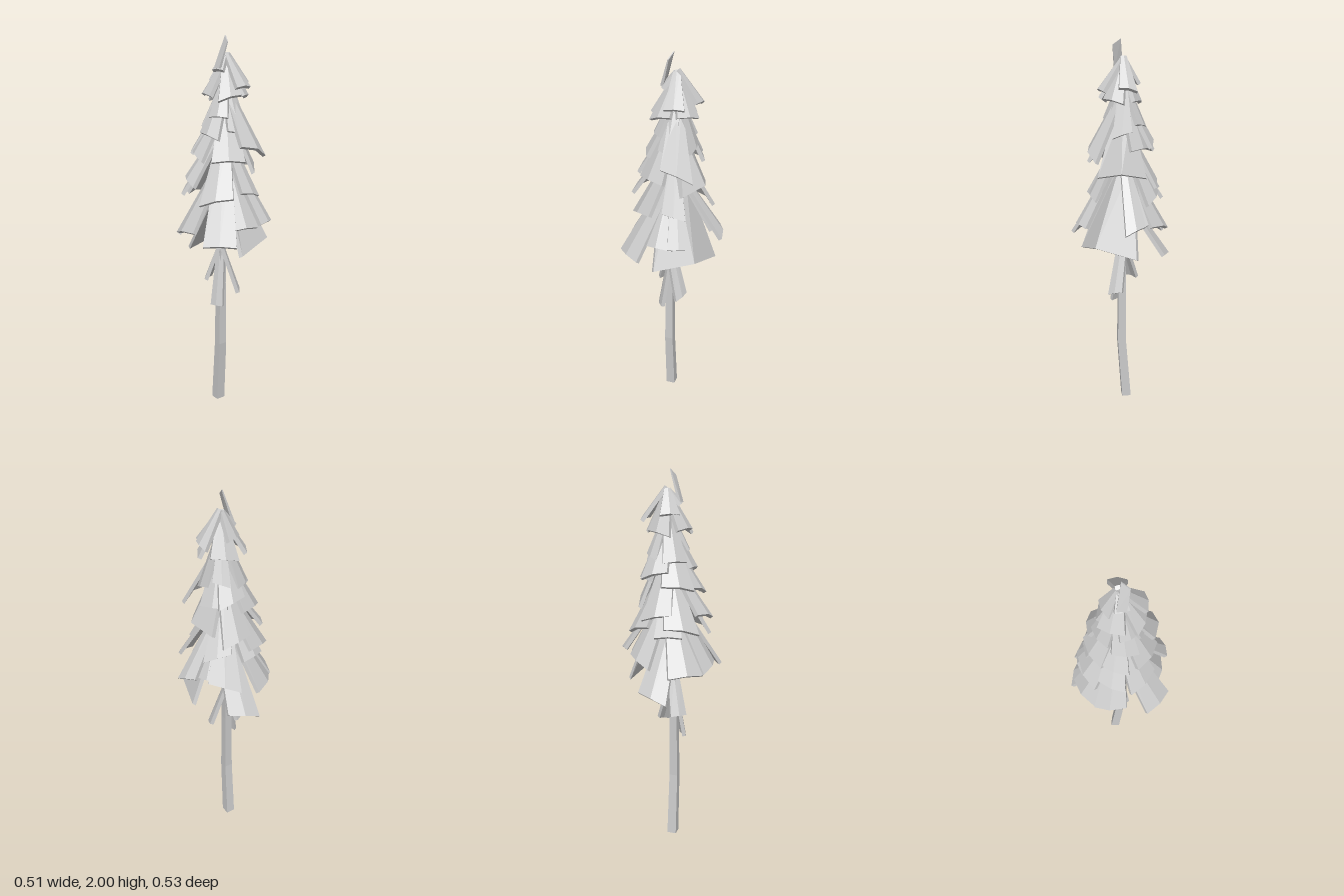
import * as THREE from 'three';

const mat = new THREE.MeshStandardMaterial({ color: 0xcccccc, flatShading: true });

// Trunk centre line (x, y, z, radius), bent slightly near the ground
const trunkPath = [
  [-0.03, 0, -0.023, 0.035], [-0.031, 0.35, 0.003, 0.032], [-0.028, 0.7, 0.001, 0.028],
  [-0.02, 1.0, 0, 0.025], [0, 1.5, 0, 0.016], [0.01, 1.86, 0, 0.008],
];

function trunkAt(y) {
  let i = 0;
  while (i < trunkPath.length - 2 && y > trunkPath[i + 1][1]) i++;
  const a = trunkPath[i], b = trunkPath[i + 1];
  const t = Math.min(1, (y - a[1]) / (b[1] - a[1]));
  return a.map((v, k) => v + (b[k] - v) * t);
}

function makeTrunk() {
  const rows = trunkPath.length - 1;
  const geo = new THREE.CylinderGeometry(1, 1, rows, 4, rows, false, Math.PI / 4);
  const p = geo.attributes.position;
  for (let i = 0; i < p.count; i++) {
    const [x, y, z, r] = trunkPath[Math.round(p.getY(i) + rows / 2)];
    p.setXYZ(i, x + p.getX(i) * r, y, z + p.getZ(i) * r);
  }
  const mesh = new THREE.Mesh(geo, mat);
  mesh.name = 'trunk';
  return mesh;
}

// A hanging slab: narrow at the root, wide at the tip, folded along a central ridge.
// skew makes one corner of the tip hang further than the other.
function makeBough(x, y, z, halfWidth, drop, skew = 0, tipFold = 0.26, rootWidth = 0.34) {
  const [cx, , cz] = trunkAt(y + drop);
  const out = new THREE.Vector3(x - cx, 0, z - cz).normalize();
  const side = new THREE.Vector3(0, 1, 0).cross(out);
  const root = new THREE.Vector3(cx, y + drop, cz).addScaledVector(out, 0.015);
  const tip = new THREE.Vector3(x, y, z);
  const normal = side.clone().cross(root.clone().sub(tip)).normalize();
  const geo = new THREE.BoxGeometry(2, 1, 1, 2, 1, 1);
  const p = geo.attributes.position, v = new THREE.Vector3();
  for (let i = 0; i < p.count; i++) {
    const s = p.getX(i), t = 0.5 - p.getY(i);
    const thick = (p.getZ(i) - 0.5) * 0.02;
    const fold = -Math.abs(s) * halfWidth * (0.1 + (tipFold - 0.1) * t);
    v.lerpVectors(root, tip, t * (1 + s * skew))
      .addScaledVector(side, s * halfWidth * (rootWidth + (1 - rootWidth) * t))
      .addScaledVector(normal, thick + fold);
    p.setXYZ(i, v.x, v.y, v.z);
  }
  const mesh = new THREE.Mesh(geo, mat);
  mesh.name = 'bough';
  return mesh;
}

// Each bough: tip x, y, z, half width at the tip, height from tip to root, skew, fold, root width
const tiers = {
  strayBoughs: [
    [-0.085, 0.59, 0.035, 0.035, 0.32, 0, 0.2, 0.6], [0.06, 0.67, 0.055, 0.04, 0.24, -0.05, 0.2, 0.7],
    [-0.08, 0.73, -0.07, 0.045, 0.2, 0, 0.2, 0.7], [0.02, 0.88, -0.25, 0.085, 0.34, 0.06, 0.2, 0.55],
  ],
  lowestBoughs: [
    [0.16, 0.965, 0.165, 0.185, 0.42, 0, 0.65], [-0.195, 0.99, 0.225, 0.085, 0.4, 0, 0.2, 0.45],
    [0.255, 1.08, -0.035, 0.055, 0.35, -0.05], [0.115, 1.06, -0.2, 0.085, 0.35, 0.06],
    [-0.16, 1.0, -0.195, 0.095, 0.38], [-0.25, 1.02, -0.04, 0.085, 0.38, -0.04],
    [0.1, 1.08, 0.245, 0.055, 0.38], [-0.03, 1.06, 0.23, 0.08, 0.36], [0.17, 1.08, -0.11, 0.08, 0.35],
  ],
  lowerBoughs: [
    [0.17, 1.35, 0.03, 0.125, 0.3, 0, 0.55], [-0.22, 1.29, -0.03, 0.07, 0.28, 0.06], [0.135, 1.22, -0.155, 0.07, 0.32, -0.07],
    [-0.13, 1.23, -0.175, 0.09, 0.3, 0.06], [-0.06, 1.2, -0.21, 0.07, 0.3], [-0.16, 1.2, 0.14, 0.085, 0.32, -0.06],
    [0.05, 1.22, 0.18, 0.06, 0.3, 0.05], [0.02, 1.29, -0.18, 0.08, 0.3, -0.06],
  ],
  middleBoughs: [
    [0.07, 1.45, 0.19, 0.08, 0.3, 0.1, 0.35], [-0.09, 1.4, 0.16, 0.085, 0.3], [-0.18, 1.42, -0.02, 0.075, 0.25, 0.08],
    [0.04, 1.5, -0.155, 0.07, 0.25, -0.08], [-0.1, 1.44, -0.14, 0.085, 0.26, 0.05], [0.12, 1.47, -0.09, 0.07, 0.28],
  ],
  upperBoughs: [
    [-0.14, 1.52, 0.04, 0.065, 0.24, 0.06], [0.12, 1.54, 0.02, 0.05, 0.28, -0.06], [0.0, 1.53, 0.13, 0.055, 0.25, 0.06],
    [-0.07, 1.56, -0.1, 0.065, 0.24], [0.07, 1.58, -0.1, 0.045, 0.22, 0.06], [-0.09, 1.61, 0.06, 0.05, 0.2],
  ],
  crownBoughs: [
    [-0.05, 1.71, 0.12, 0.06, 0.18, -0.08], [0.1, 1.71, 0.07, 0.06, 0.18, 0.05], [-0.11, 1.72, -0.035, 0.065, 0.17],
    [0.04, 1.7, -0.09, 0.07, 0.18, 0.06], [0.14, 1.77, -0.01, 0.045, 0.15, 0.06], [0.035, 1.76, 0.13, 0.05, 0.15],
    [-0.03, 1.79, -0.075, 0.05, 0.12], [-0.065, 1.84, 0.02, 0.035, 0.07],
  ],
};

// Leaning blade at the very top, its upper edge slanted to a point
function makeSpire() {
  const geo = new THREE.BoxGeometry(1, 1, 1);
  const p = geo.attributes.position;
  for (let i = 0; i < p.count; i++) {
    const up = p.getY(i) + 0.5, s = p.getZ(i);
    p.setXYZ(i, -0.055 + up * (0.045 - s * 0.015) + p.getX(i) * (0.016 - 0.01 * up),
      1.84 + up * (0.145 - s * 0.03), 0.015 + up * 0.015 + s * (0.045 - 0.005 * up));
  }
  const mesh = new THREE.Mesh(geo, mat);
  mesh.name = 'spire';
  return mesh;
}

export function createModel() {
  const model = new THREE.Group();
  model.name = 'conifer';
  model.add(makeTrunk(), makeSpire());
  for (const [name, list] of Object.entries(tiers)) {
    const tier = new THREE.Group();
    tier.name = name;
    for (const b of list) tier.add(makeBough(...b));
    model.add(tier);
  }
  return model;
}
